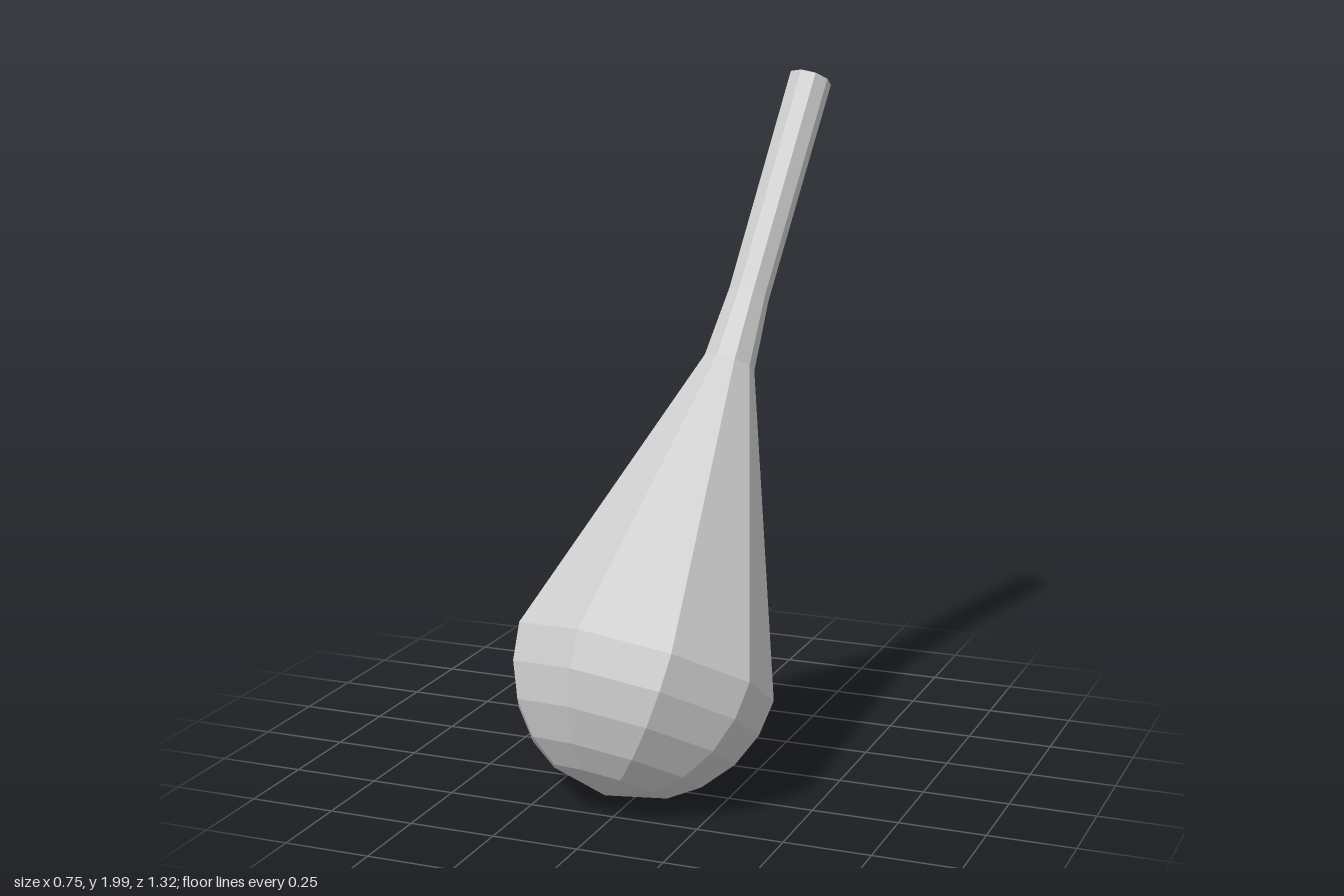
import * as THREE from 'three';

export function createModel() {
  const group = new THREE.Group();
  const material = new THREE.MeshStandardMaterial({ color: 0xcccccc, flatShading: true });

  // Leaning axis, from the middle of the bulb to the tip of the stem
  const base = new THREE.Vector3(0, 0.395, 0.28);
  const tip = new THREE.Vector3(0.18, 1.972, -0.605);
  const length = base.distanceTo(tip);
  const up = tip.clone().sub(base).normalize();
  const front = new THREE.Vector3(0, 0, 1).projectOnPlane(up).normalize();
  const side = new THREE.Vector3().crossVectors(up, front);

  // Rounded bottom of the bulb, from the pole up to its widest ring
  const radius = 0.385;
  const profile = [90, 64, 49, 32, 16, 0].map((deg) => {
    const a = THREE.MathUtils.degToRad(deg);
    return new THREE.Vector2(deg === 90 ? 0 : radius * Math.cos(a), -radius * Math.sin(a));
  });

  // Tapering neck, thin stem and closed tip
  profile.push(
    new THREE.Vector2(0.078, 0.908),
    new THREE.Vector2(0.062, 1.123),
    new THREE.Vector2(0.065, length),
    new THREE.Vector2(0, length)
  );

  // Nine-sided turned body
  const geometry = new THREE.LatheGeometry(profile, 9, THREE.MathUtils.degToRad(-11));
  const body = new THREE.Mesh(geometry, material);
  body.name = 'bulbWithStem';
  body.quaternion.setFromRotationMatrix(new THREE.Matrix4().makeBasis(side, up, front));
  body.position.copy(base);
  group.add(body);
  return group;
}
